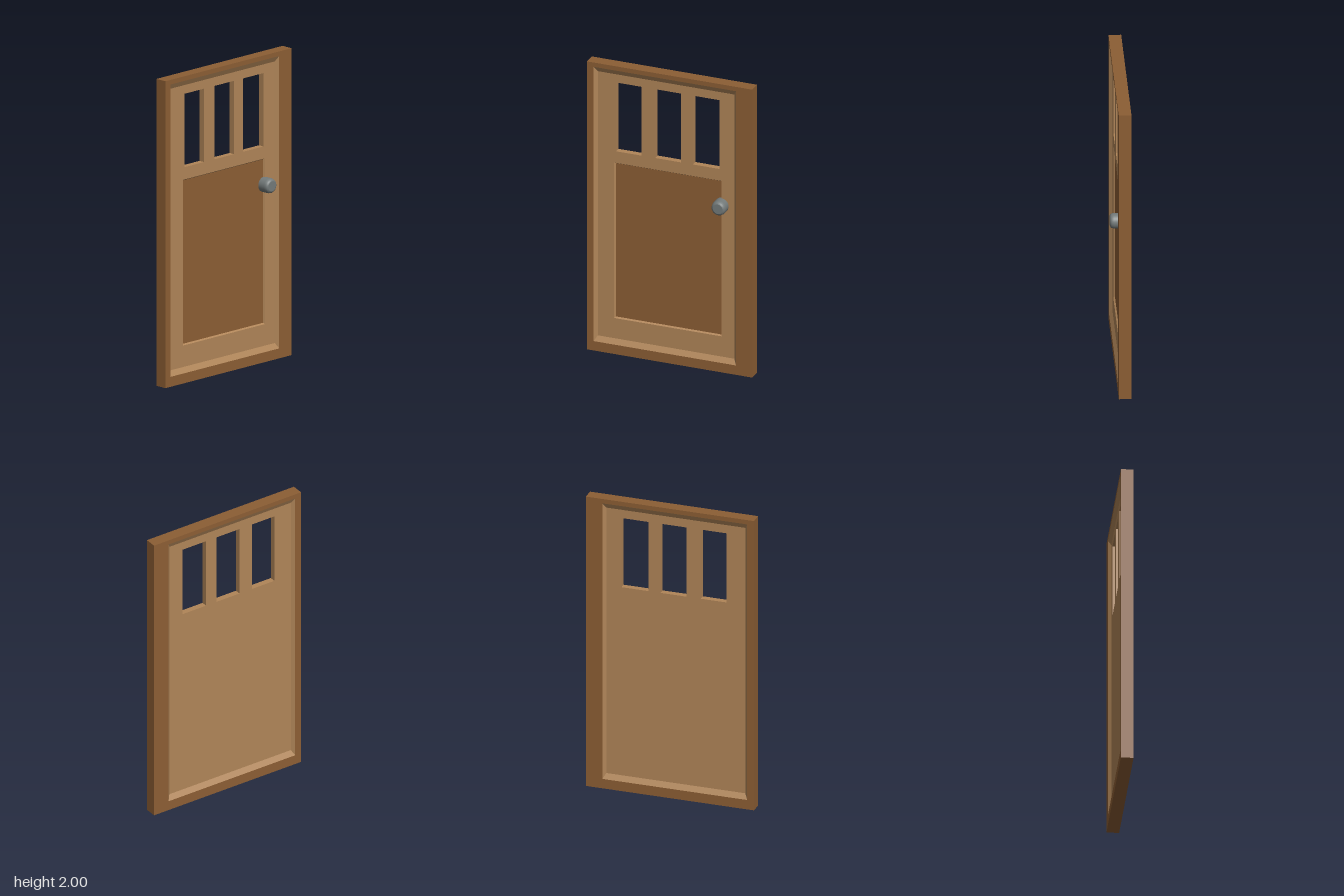
import * as THREE from 'three';

const darkWood = new THREE.MeshStandardMaterial({ name: 'darkWood', color: 0x8c5e34 });
const lightWood = new THREE.MeshStandardMaterial({ name: 'lightWood', color: 0xb08558 });
const metal = new THREE.MeshStandardMaterial({ name: 'greyMetal', color: 0x737a7a });

// Rectangles are [left, bottom, right, top]
const OUTER = [-0.56, 0, 0.56, 2];
const OPENING = [-0.515, 0.065, 0.45, 1.97];
const LEAF = [-0.495, 0.1, 0.43, 1.935];
const INSET = [-0.385, 0.24, 0.345, 1.32];
const INSET_FLOOR = [-0.377, 0.248, 0.337, 1.312];
const WINDOWS = [[-0.37, -0.198], [-0.105, 0.07], [0.15, 0.33]].map(([a, b]) => [a, 1.4, b, 1.878]);

// Depths, from front to back
const FRONT = 0.015, LEAF_FRONT = -0.005, INSET_Z = -0.017, LEAF_BACK = -0.045, BACK = -0.065;

const corners = ([l, b, r, t]) => [[l, b], [r, b], [r, t], [l, t]];

function mesh(name, geometry, material) {
  const m = new THREE.Mesh(geometry, material);
  m.name = name;
  return m;
}

// Rectangular board with rectangular holes between two depths
function board(rect, holes, back, front) {
  const points = (r) => corners(r).map(([x, y]) => new THREE.Vector2(x, y));
  const shape = new THREE.Shape(points(rect));
  for (const h of holes) shape.holes.push(new THREE.Path(points(h)));
  const g = new THREE.ExtrudeGeometry(shape, { depth: front - back, bevelEnabled: false });
  return g.translate(0, 0, back);
}

// Four sloping faces from an outer rectangle down to an inner one
function bevel(outer, outerZ, inner, innerZ) {
  const a = corners(outer).map(([x, y]) => [x, y, outerZ]);
  const b = corners(inner).map(([x, y]) => [x, y, innerZ]);
  const pos = [];
  for (let i = 0; i < 4; i++) {
    const j = (i + 1) % 4;
    let quad = [a[i], a[j], b[j], b[i]];
    if (outerZ < innerZ) quad = quad.reverse();
    for (const k of [0, 1, 2, 0, 2, 3]) pos.push(...quad[k]);
  }
  const g = new THREE.BufferGeometry();
  g.setAttribute('position', new THREE.Float32BufferAttribute(pos, 3));
  g.computeVertexNormals();
  return g;
}

export function createModel() {
  const door = new THREE.Group();
  door.name = 'door';

  // Surrounding frame, wider on the knob side
  door.add(mesh('frame', board(OUTER, [OPENING], BACK, FRONT), darkWood));

  // Recessed leaf: a back layer, and a front layer cut out for the inset
  door.add(mesh('leafBack', board(LEAF, WINDOWS, LEAF_BACK, INSET_Z), lightWood));
  door.add(mesh('leafFront', board(LEAF, [...WINDOWS, INSET], INSET_Z, LEAF_FRONT), lightWood));

  // Mouldings sloping from the frame to the leaf
  door.add(mesh('frontMoulding', bevel(OPENING, FRONT, LEAF, LEAF_FRONT), lightWood));
  door.add(mesh('backMoulding', bevel(OPENING, BACK, LEAF, LEAF_BACK), lightWood));

  // Dark lower panel with its own small moulding
  door.add(mesh('insetMoulding', bevel(INSET, LEAF_FRONT, INSET_FLOOR, INSET_Z), lightWood));
  door.add(mesh('insetPanel', board(INSET_FLOOR, [], INSET_Z, INSET_Z + 0.002), darkWood));

  // Round knob with a softened rim and a flat face
  const knob = new THREE.Group();
  knob.name = 'knob';
  const profile = [[0.049, 0], [0.049, 0.05], [0.046, 0.064], [0.041, 0.071], [0.033, 0.075]]
    .map(([r, h]) => new THREE.Vector2(r, h));
  knob.add(mesh('knobBody', new THREE.LatheGeometry(profile, 32), metal));
  const cap = mesh('knobFace', new THREE.CircleGeometry(0.033, 32).rotateX(-Math.PI / 2), metal);
  cap.position.y = 0.075;
  knob.add(cap);
  knob.rotation.x = Math.PI / 2;
  knob.position.set(0.343, 1.15, -0.0155);
  door.add(knob);

  return door;
}
